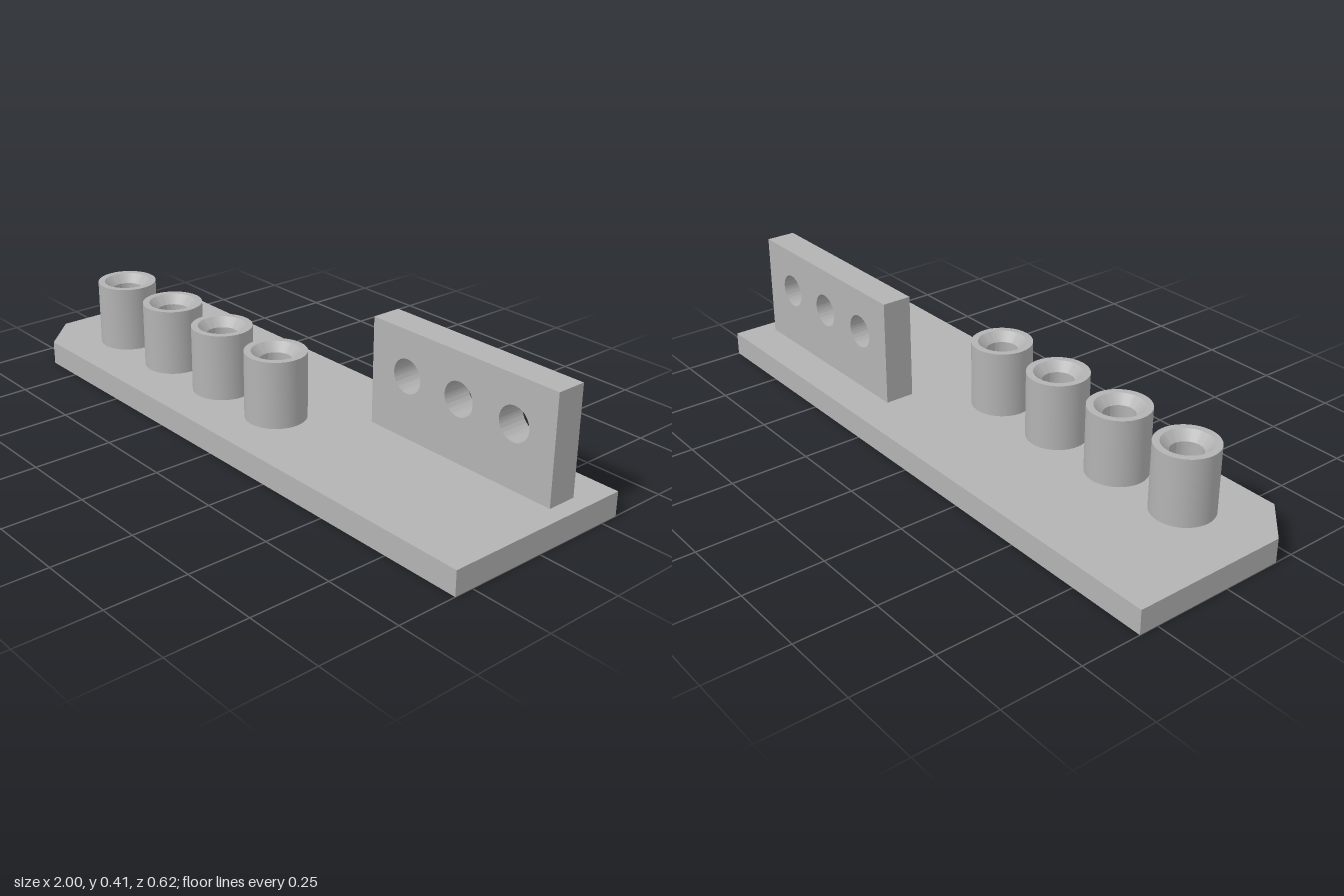
import * as THREE from 'three';
import { toCreasedNormals } from 'three/addons/utils/BufferGeometryUtils.js';

const BASE_TOP = 0.076;

export function createModel() {
  const model = new THREE.Group();
  model.name = 'mountingPlate';

  const grey = new THREE.MeshStandardMaterial({ color: 0xb3b3b3 });
  grey.name = 'grey';

  const add = (name, geometry, x = 0, y = 0, z = 0) => {
    const mesh = new THREE.Mesh(toCreasedNormals(geometry, 0.5), grey);
    mesh.name = name;
    mesh.position.set(x, y, z);
    model.add(mesh);
  };

  // Base slab with its front right corner cut off
  const outline = new THREE.Shape([
    [-0.88, -0.31], [1, -0.31], [1, 0.31], [-1, 0.31], [-1, -0.19],
  ].map(([x, y]) => new THREE.Vector2(x, y)));
  const base = new THREE.ExtrudeGeometry(outline, { depth: BASE_TOP, bevelEnabled: false });
  base.rotateX(-Math.PI / 2);
  add('base', base);

  // Hollow posts with a countersunk mouth
  const h = 0.287 - BASE_TOP;
  const profile = [
    [0.095, 0], [0.095, h], [0.074, h], [0.048, h - 0.027], [0.048, 0],
  ].map(([r, y]) => new THREE.Vector2(r, y));
  for (let i = 0; i < 4; i++) {
    add(`post${i + 1}`, new THREE.LatheGeometry(profile, 48), -0.74 + i * 0.262, BASE_TOP, 0.095);
  }

  // Upright plate with three round holes
  const upright = new THREE.Shape([
    [0.262, BASE_TOP], [0.946, BASE_TOP], [0.946, 0.411], [0.262, 0.411],
  ].map(([x, y]) => new THREE.Vector2(x, y)));
  for (const x of [0.403, 0.604, 0.805]) {
    upright.holes.push(new THREE.Path().absarc(x, 0.27, 0.053, 0, Math.PI * 2, true));
  }
  add('uprightPlate', new THREE.ExtrudeGeometry(upright, {
    depth: 0.095, bevelEnabled: false, curveSegments: 40,
  }), 0, 0, -0.19);

  return model;
}
